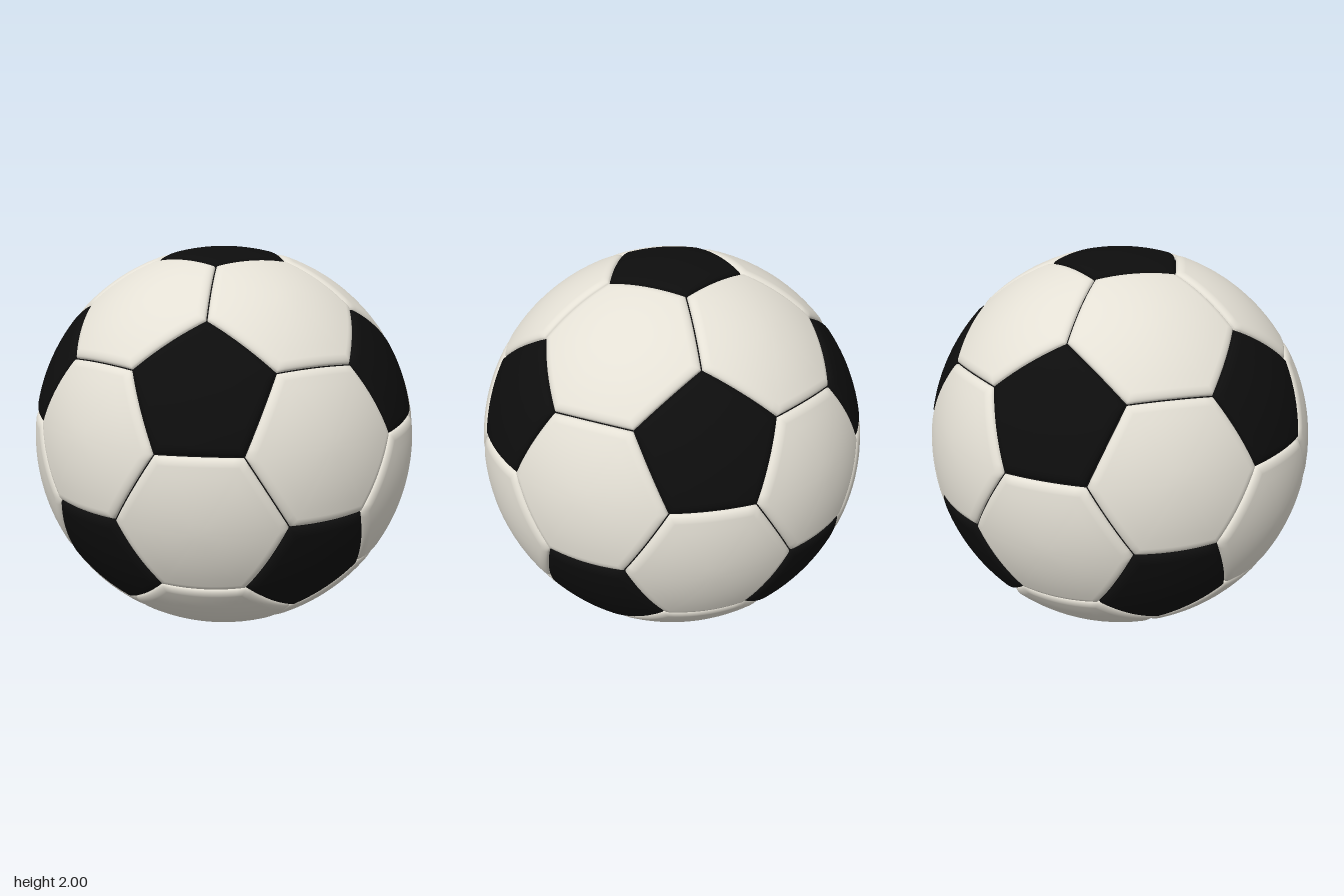
import * as THREE from 'three';

const white = new THREE.MeshStandardMaterial({ color: 0xe4e0d5 });
white.name = 'warm white leather';
const black = new THREE.MeshStandardMaterial({ color: 0x0d0d0d });
black.name = 'black leather';

const SEAM_WIDTH = 0.045, SEAM_DEPTH = 0.022, GAP = 0.003, SEGMENTS = 10;

// The 12 pentagon directions: two poles and two staggered rings of five
function icosahedronPoints() {
  const points = [new THREE.Vector3(0, 1, 0), new THREE.Vector3(0, -1, 0)];
  const h = 1 / Math.sqrt(5), r = 2 / Math.sqrt(5);
  for (let i = 0; i < 5; i++) {
    const a = i * Math.PI * 0.4, b = a + Math.PI / 5;
    points.push(new THREE.Vector3(r * Math.cos(a), h, r * Math.sin(a)));
    points.push(new THREE.Vector3(r * Math.cos(b), -h, r * Math.sin(b)));
  }
  return points;
}

// Domed panel: rings from the centre to the corners, rounded down at the rim
function panelGeometry(corners) {
  const center = new THREE.Vector3();
  corners.forEach(p => center.addScaledVector(p, 1 / corners.length));
  const axis = center.clone().normalize();
  const u = corners[0].clone().sub(center).normalize();
  const v = axis.clone().cross(u);
  const angle = p => {
    const d = p.clone().sub(center);
    return Math.atan2(d.dot(v), d.dot(u));
  };
  const sorted = [...corners].sort((a, b) => angle(a) - angle(b));
  const apothem = sorted[0].clone().add(sorted[1]).multiplyScalar(0.5).distanceTo(center);

  // Ring distances from the rim, finer on the rounded border
  const rings = [];
  for (let i = 1; i <= 6; i++) rings.push(apothem + (SEAM_WIDTH - apothem) * i / 6);
  [0.8, 0.6, 0.42, 0.27, 0.15, 0.06, 0].forEach(f => rings.push(SEAM_WIDTH * f));

  const n = sorted.length * SEGMENTS;
  const positions = [...axis.toArray()], index = [];
  rings.forEach((d, k) => {
    const t = (1 - d / apothem) * (1 - GAP / apothem);
    const s = Math.max(0, 1 - d / SEAM_WIDTH);
    const radius = 1 - SEAM_DEPTH * (1 - Math.sqrt(1 - s * s));
    for (let j = 0; j < n; j++) {
      const side = Math.floor(j / SEGMENTS);
      const p = sorted[side].clone()
        .lerp(sorted[(side + 1) % sorted.length], (j % SEGMENTS) / SEGMENTS);
      p.sub(center).multiplyScalar(t).add(center).setLength(radius);
      positions.push(p.x, p.y, p.z);
      const next = (j + 1) % n, row = 1 + k * n;
      if (k === 0) index.push(0, row + j, row + next);
      else {
        const prev = row - n;
        index.push(prev + j, row + j, row + next, prev + j, row + next, prev + next);
      }
    }
  });
  const geometry = new THREE.BufferGeometry();
  geometry.setAttribute('position', new THREE.Float32BufferAttribute(positions, 3));
  geometry.setIndex(index);
  geometry.computeVertexNormals();
  return geometry;
}

export function createModel() {
  const model = new THREE.Group();
  model.name = 'football';
  const ball = new THREE.Group();
  ball.name = 'ball';
  ball.position.y = 1;
  model.add(ball);

  const points = icosahedronPoints();
  const near = (a, b) => a !== b && a.distanceTo(b) < 1.1;
  const corner = (a, b) => a.clone().multiplyScalar(2).add(b).divideScalar(3).normalize();
  const addPanel = (name, corners, material) => {
    const mesh = new THREE.Mesh(panelGeometry(corners), material);
    mesh.name = name;
    ball.add(mesh);
  };

  // Black pentagons
  points.forEach((a, i) => {
    addPanel(`pentagonPanel${i + 1}`, points.filter(b => near(a, b)).map(b => corner(a, b)), black);
  });

  // White hexagons
  let count = 0;
  for (let i = 0; i < 12; i++) for (let j = i + 1; j < 12; j++) for (let k = j + 1; k < 12; k++) {
    const [a, b, c] = [points[i], points[j], points[k]];
    if (!near(a, b) || !near(b, c) || !near(a, c)) continue;
    addPanel(`hexagonPanel${++count}`, [
      corner(a, b), corner(b, a), corner(b, c), corner(c, b), corner(c, a), corner(a, c),
    ], white);
  }

  // Dark core showing through the seams
  const core = new THREE.Mesh(new THREE.SphereGeometry(0.974, 64, 40), black);
  core.name = 'seamCore';
  ball.add(core);
  return model;
}
